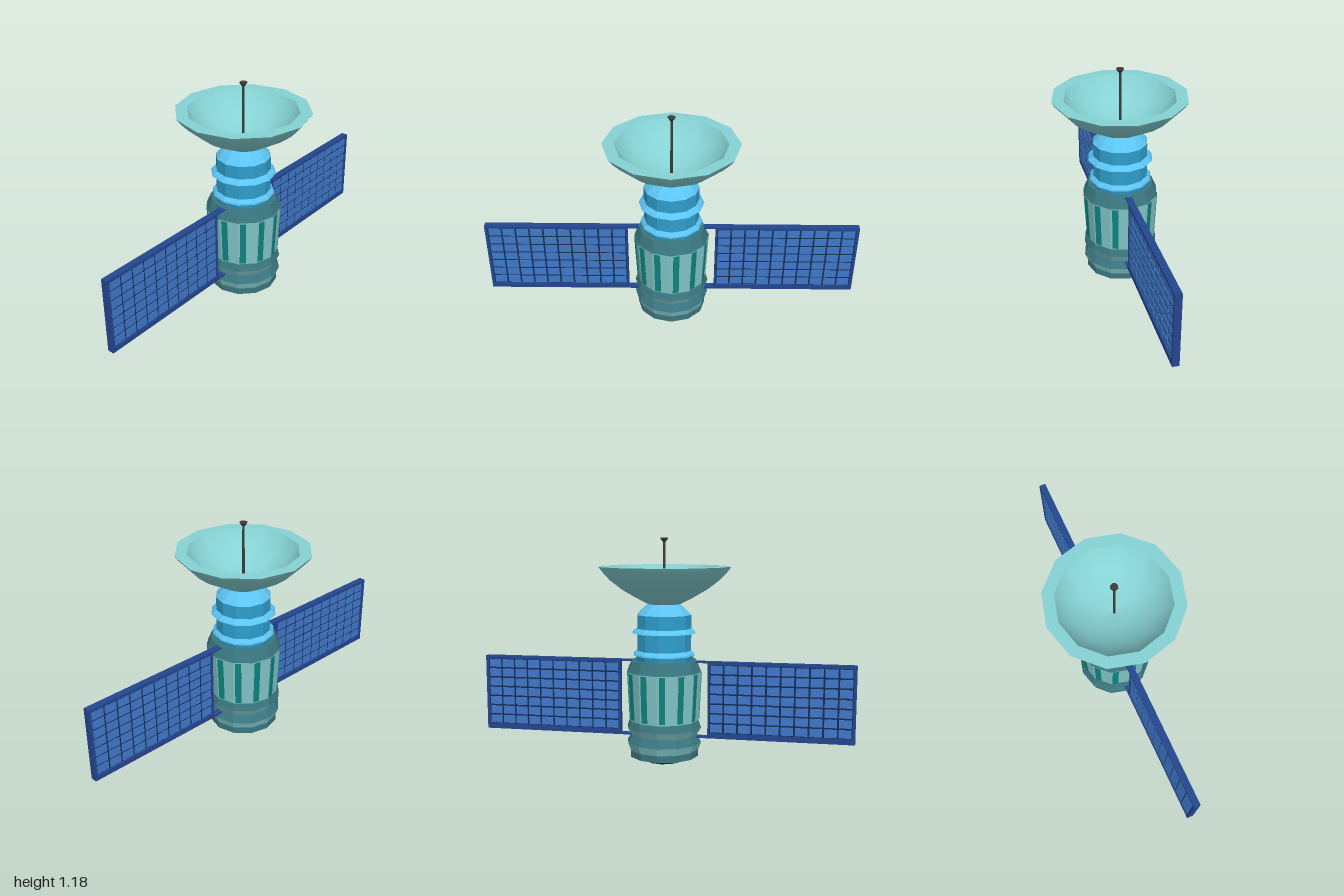
import * as THREE from 'three';

const SIDES = 12;
const COLORS = {
  hull: 0x82c6c8, hullDark: 0x3a7680, slot: 0x0e8580, blue: 0x2f9fce, blueLight: 0x5cc4f2,
  dish: 0x86d2d4, frame: 0x24468f, backing: 0x152c58, cell: 0x3f78c9, dark: 0x403c3c,
};
const mats = {};
for (const [key, color] of Object.entries(COLORS)) {
  mats[key] = new THREE.MeshStandardMaterial({ color, flatShading: key !== 'dish' });
}

function add(parent, name, geometry, mat, x = 0, y = 0, z = 0) {
  const mesh = new THREE.Mesh(geometry, mats[mat]);
  mesh.name = name;
  mesh.position.set(x, y, z);
  parent.add(mesh);
  return mesh;
}

// Turned part from [radius, height] pairs, outer side running upwards
function turned(parent, name, mat, profile) {
  const points = profile.map(([r, y]) => new THREE.Vector2(r, y));
  return add(parent, name, new THREE.LatheGeometry(points, SIDES), mat);
}

function createBody() {
  const body = new THREE.Group();
  body.name = 'body';
  turned(body, 'engineNozzle', 'dark', [
    [0, 0.045], [0.035, 0.035], [0.05, 0.05], [0.07, 0.03], [0.085, 0.0], [0.1, 0], [0.124, 0.03],
  ]);
  turned(body, 'baseRing', 'hullDark', [[0.115, 0.03], [0.185, 0.03], [0.185, 0.066]]);
  turned(body, 'lowerFlare', 'hull', [[0.185, 0.066], [0.2, 0.105]]);
  turned(body, 'lowerTaper', 'hullDark', [[0.2, 0.105], [0.177, 0.147]]);
  turned(body, 'upperFlare', 'hull', [[0.177, 0.147], [0.2, 0.185]]);
  turned(body, 'upperTaper', 'hullDark', [[0.2, 0.185], [0.187, 0.225]]);
  turned(body, 'mainHull', 'hull', [[0.187, 0.225], [0.2, 0.485]]);
  turned(body, 'shoulder', 'hullDark', [[0.2, 0.485], [0.175, 0.545], [0.13, 0.545]]);

  // One slot strip per facet, set off to one side and leaning with the wall
  const apothem = 0.1935 * Math.cos(Math.PI / SIDES);
  for (let i = 0; i < SIDES; i++) {
    const facet = new THREE.Group();
    facet.name = 'hullSlot';
    facet.rotation.y = (i + 0.5) * Math.PI * 2 / SIDES;
    const strip = add(facet, 'slotStrip', new THREE.BoxGeometry(0.032, 0.247, 0.008), 'slot',
      -0.0235, 0.356, apothem);
    strip.rotation.x = 0.048;
    body.add(facet);
  }
  return body;
}

function createNeck() {
  const neck = new THREE.Group();
  neck.name = 'neck';
  turned(neck, 'neckBase', 'blue', [[0.15, 0.543], [0.156, 0.572]]);
  turned(neck, 'lowerFlange', 'blueLight', [[0.14, 0.572], [0.165, 0.572], [0.163, 0.58], [0.145, 0.597]]);
  turned(neck, 'neckCylinder', 'blue', [[0.145, 0.59], [0.145, 0.785]]);
  turned(neck, 'upperFlange', 'blueLight', [[0.14, 0.69], [0.172, 0.69], [0.165, 0.698], [0.145, 0.714]]);
  turned(neck, 'neckCone', 'blueLight', [[0.145, 0.785], [0.122, 0.81], [0.085, 0.842], [0, 0.842]]);
  return neck;
}

function createDish() {
  const dish = new THREE.Group();
  dish.name = 'dish';
  turned(dish, 'dishOuter', 'dish', [
    [0, 0.838], [0.085, 0.84], [0.16, 0.879], [0.23, 0.92], [0.295, 0.97], [0.335, 1.013], [0.352, 1.037],
  ]);
  turned(dish, 'dishRim', 'dish', [[0.352, 1.037], [0.29, 1.037]]);
  turned(dish, 'dishBowl', 'dish', [
    [0.29, 1.037], [0.26, 0.99], [0.21, 0.942], [0.15, 0.905], [0.08, 0.875], [0, 0.865],
  ]);
  add(dish, 'antennaMast', new THREE.CylinderGeometry(0.006, 0.007, 0.31, 8), 'dark', 0, 1.015);
  add(dish, 'antennaTip', new THREE.CylinderGeometry(0.02, 0.007, 0.017, 8), 'dark', 0, 1.172);
  add(dish, 'antennaCap', new THREE.CylinderGeometry(0.02, 0.02, 0.005, 8), 'dark', 0, 1.1825);
  return dish;
}

function createSolarPanel(side) {
  const panel = new THREE.Group();
  panel.name = side > 0 ? 'leftSolarPanel' : 'rightSolarPanel';
  // Box given by its x and y limits (x measured outwards) and its depth
  const bar = (name, mat, x0, x1, y0, y1, depth) => add(panel, name,
    new THREE.BoxGeometry(x1 - x0, y1 - y0, depth), mat, side * (x0 + x1) / 2, (y0 + y1) / 2, 0);

  bar('panelBacking', 'backing', 0.24, 0.99, 0.15, 0.53, 0.02);
  bar('topFrame', 'frame', 0.236, 1, 0.526, 0.542, 0.036);
  bar('bottomFrame', 'frame', 0.236, 1, 0.132, 0.16, 0.036);
  bar('innerFrame', 'frame', 0.236, 0.245, 0.16, 0.526, 0.036);
  bar('outerFrame', 'frame', 0.985, 1, 0.16, 0.526, 0.036);
  // Thin struts joining the panel to the body
  bar('topStrut', 'frame', 0.15, 0.236, 0.534, 0.542, 0.036);
  bar('bottomStrut', 'frame', 0.15, 0.236, 0.132, 0.141, 0.036);

  // Grid of cells, showing on both faces
  const cols = 10, rows = 7, gap = 0.009;
  const w = 0.74 / cols, h = 0.366 / rows;
  for (let c = 0; c < cols; c++) {
    for (let r = 0; r < rows; r++) {
      const x = 0.245 + c * w, y = 0.16 + r * h;
      bar('solarCell', 'cell', x + gap / 2, x + w - gap / 2, y + gap / 2, y + h - gap / 2, 0.028);
    }
  }
  return panel;
}

export function createModel() {
  const model = new THREE.Group();
  model.name = 'satellite';
  model.add(createBody(), createNeck(), createDish(), createSolarPanel(1), createSolarPanel(-1));
  return model;
}
